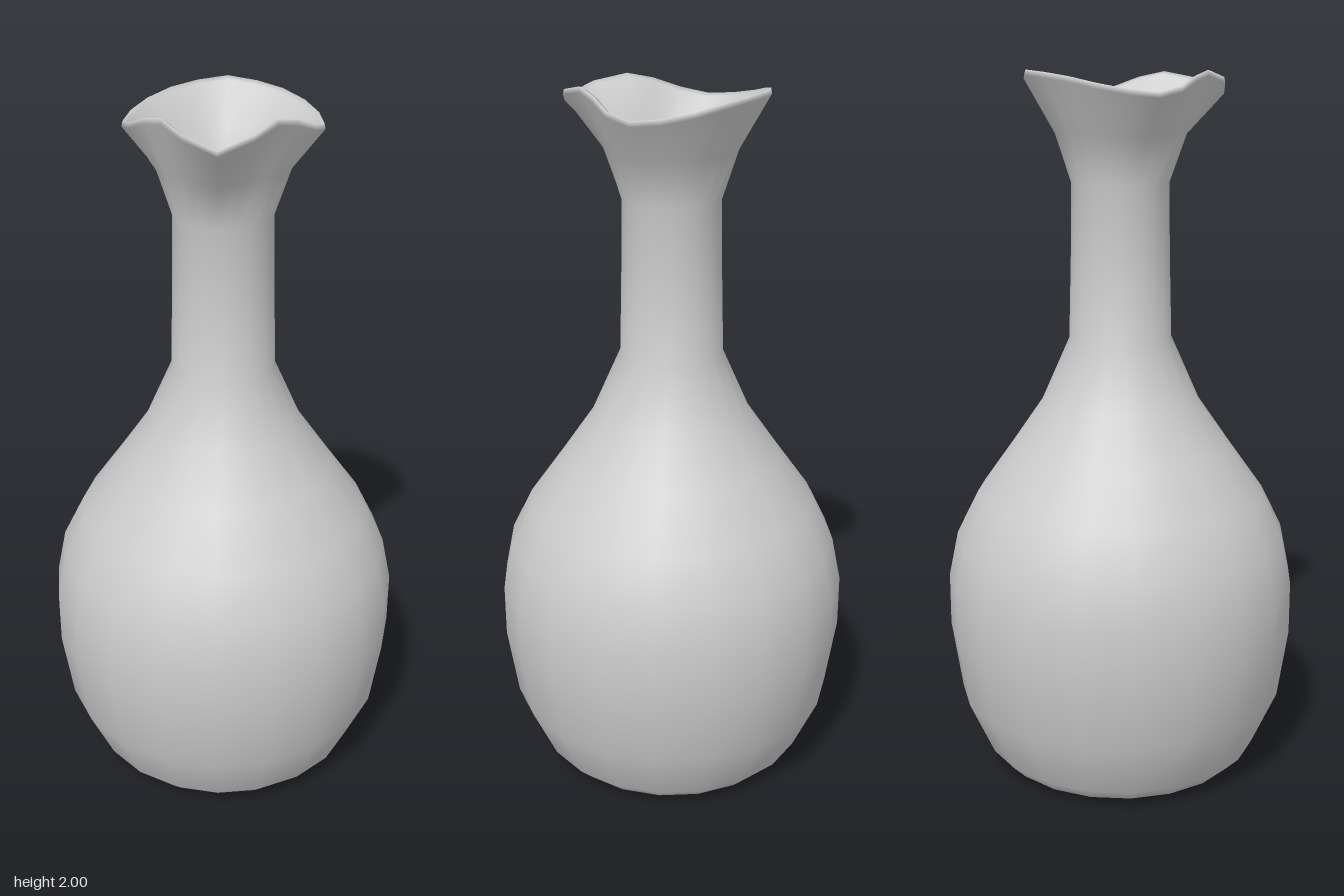
import * as THREE from 'three';

const SIDES = 20;

// Rim radius and height every 18 degrees, from the pouring lip round to the back
const RIM_R = [0.315, 0.287, 0.244, 0.235, 0.25, 0.262, 0.262, 0.262, 0.259, 0.262, 0.274];
const RIM_Y = [1.953, 1.982, 2.0, 1.985, 1.958, 1.942, 1.95, 1.965, 1.982, 1.993, 2.0];

// Rings: [radius, height, rim blend, rim offset]; blend 0 is round, 1 follows the rim
const OUTSIDE = [
  [0, 0.004], [0.2, 0.004], [0.31, 0], [0.36, 0.02], [0.4, 0.06], [0.472, 0.22],
  [0.502, 0.42], [0.502, 0.57], [0.475, 0.7], [0.415, 0.82], [0.315, 0.96],
  [0.225, 1.09], [0.145, 1.27], [0.139, 1.5], [0.136, 1.7],
  [0.165, 1.83, 0.15, 0], [0.2, 1.955, 1, 0],
];
const INSIDE = [
  [0.2, 1.97, 1, -0.003], [0.2, 1.962, 1, -0.018], [0.15, 1.86, 0.3, -0.03],
  [0.115, 1.72], [0.107, 1.5], [0.11, 1.29], [0.195, 1.09], [0.385, 0.82],
  [0.47, 0.57], [0.47, 0.42], [0.44, 0.22], [0.36, 0.06], [0.3, 0.035], [0.15, 0.03], [0, 0.03],
];

// Skin a stack of closed rings with smooth normals
function skin(rings) {
  const pos = [], index = [];
  for (const [r, y, w = 0, offset = 0] of rings) {
    for (let j = 0; j < SIDES; j++) {
      const a = (j / SIDES) * Math.PI * 2;
      const k = Math.min(j, SIDES - j);
      const radius = THREE.MathUtils.lerp(r, RIM_R[k] + offset, w);
      pos.push(radius * Math.sin(a), y + w * (RIM_Y[k] - 1.97), radius * Math.cos(a));
    }
  }
  for (let i = 0; i < rings.length - 1; i++) {
    for (let j = 0; j < SIDES; j++) {
      const n = (j + 1) % SIDES;
      const a = i * SIDES + j, b = i * SIDES + n;
      const c = b + SIDES, d = a + SIDES;
      if (rings[i][0] > 0) index.push(a, b, c);
      if (rings[i + 1][0] > 0) index.push(a, c, d);
      // fans at the two poles
      if (rings[i][0] === 0) index.push(a, c, d);
    }
  }
  const g = new THREE.BufferGeometry();
  g.setAttribute('position', new THREE.Float32BufferAttribute(pos, 3));
  // Drop the duplicate triangles left by the first fan
  const seen = new Set();
  const unique = [];
  for (let t = 0; t < index.length; t += 3) {
    const key = index.slice(t, t + 3).join();
    if (!seen.has(key)) unique.push(...index.slice(t, t + 3));
    seen.add(key);
  }
  g.setIndex(unique);
  g.computeVertexNormals();
  // Pole points share a straight normal
  const normals = g.attributes.normal;
  rings.forEach(([r], i) => {
    if (r === 0) for (let j = 0; j < SIDES; j++) normals.setXYZ(i * SIDES + j, 0, i === 0 ? -1 : 1, 0);
  });
  return g;
}

export function createModel() {
  const group = new THREE.Group();
  group.name = 'vase';
  const clay = new THREE.MeshStandardMaterial({ color: 0xcccccc });
  clay.name = 'light grey clay';

  // Outer wall, rolled lip and hollow interior form one continuous skin
  const body = new THREE.Mesh(skin([...OUTSIDE, ...INSIDE]), clay);
  body.name = 'vaseBody';
  group.add(body);
  return group;
}
